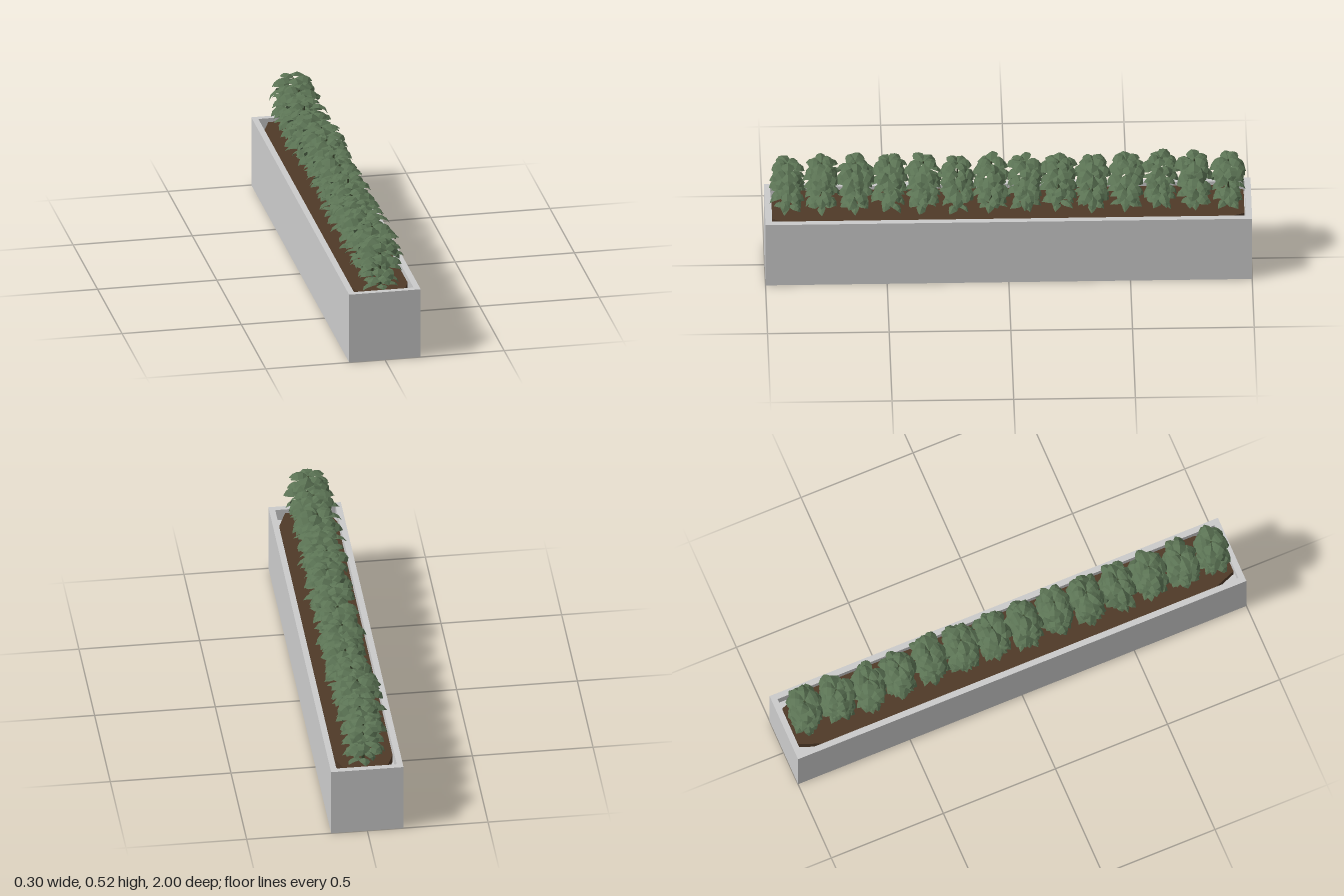
import * as THREE from 'three';
import { mergeGeometries } from 'three/addons/utils/BufferGeometryUtils.js';

// small seeded generator
let seed = 7;
const rand = () => {
  seed = (seed * 16807) % 2147483647;
  return seed / 2147483647;
};
const vary = (amount) => (rand() * 2 - 1) * amount;
const rad = THREE.MathUtils.degToRad;

const grey = new THREE.MeshStandardMaterial({ color: 0xcccccc, flatShading: true });
const soilMaterial = new THREE.MeshStandardMaterial({ color: 0x4f3a28, flatShading: true });
const leafMaterial = new THREE.MeshStandardMaterial({ color: 0x5b7354, flatShading: true, side: THREE.DoubleSide });
const stemMaterial = new THREE.MeshStandardMaterial({ color: 0x3d4a30, flatShading: true });

function addMesh(parent, name, geometry, material) {
  const mesh = new THREE.Mesh(geometry, material);
  mesh.name = name;
  parent.add(mesh);
  return mesh;
}

function rectangle(target, x, z) {
  target.moveTo(-x, -z).lineTo(x, -z).lineTo(x, z).lineTo(-x, z).closePath();
  return target;
}

// A plan shape in x and z raised from y to y + height
function slab(shape, y, height) {
  return new THREE.ExtrudeGeometry(shape, { depth: height, bevelEnabled: false })
    .rotateX(-Math.PI / 2).translate(0, y, 0);
}

// Drooping leaf along +z, creased along its spine
const HALF_WIDTHS = [0.12, 0.85, 1, 0.62, 0.04];
function leafGeometry(length, width, rise, droop) {
  const positions = [], index = [];
  const last = HALF_WIDTHS.length - 1;
  let y = 0, z = 0;
  HALF_WIDTHS.forEach((w, i) => {
    const half = w * width / 2;
    positions.push(-half, y - half * 0.45, z, 0, y, z, half, y - half * 0.45, z);
    const angle = rad(THREE.MathUtils.lerp(rise, droop, i / (last - 1)));
    y += Math.sin(angle) * length / last;
    z += Math.cos(angle) * length / last;
    if (i < last) {
      for (const c of [0, 1]) {
        const a = i * 3 + c;
        index.push(a, a + 3, a + 1, a + 1, a + 3, a + 4);
      }
    }
  });
  const geometry = new THREE.BufferGeometry();
  geometry.setAttribute('position', new THREE.Float32BufferAttribute(positions, 3));
  geometry.setIndex(index);
  geometry.computeVertexNormals();
  return geometry;
}

// Leaf whorls: count, height, start radius, length, width, rise, droop
const WHORLS = [
  [5, 0.500, 0.004, 0.075, 0.060, 30, -50],
  [7, 0.475, 0.015, 0.095, 0.062, 30, -68],
  [7, 0.445, 0.020, 0.092, 0.058, 20, -62],
  [6, 0.415, 0.020, 0.075, 0.050, 15, -60],
  [7, 0.375, 0.015, 0.090, 0.056, 25, -65],
  [6, 0.340, 0.015, 0.080, 0.050, 20, -60],
  [5, 0.300, 0.010, 0.072, 0.042, 35, -45],
];

function foliageGeometry() {
  const leaves = [];
  for (const [count, y, radius, length, width, rise, droop] of WHORLS) {
    const start = rand() * Math.PI * 2;
    for (let i = 0; i < count; i++) {
      const leaf = leafGeometry(length * (1 + vary(0.15)), width * (1 + vary(0.15)),
        rise + vary(12), droop + vary(12));
      leaf.rotateZ(vary(0.3));
      leaf.translate(0, y + vary(0.008), radius);
      leaf.rotateY(start + (i / count) * Math.PI * 2 + vary(0.2));
      leaves.push(leaf);
    }
  }
  return mergeGeometries(leaves);
}

export function createModel() {
  seed = 7;
  const model = new THREE.Group();
  model.name = 'planter';

  // Trough: open rim over a solid base
  const trough = new THREE.Group();
  trough.name = 'trough';
  model.add(trough);
  const rim = rectangle(new THREE.Shape(), 0.15, 1);
  rim.holes.push(rectangle(new THREE.Path(), 0.125, 0.975));
  addMesh(trough, 'troughWalls', slab(rim, 0, 0.3), grey);
  addMesh(trough, 'troughFloor', slab(rectangle(new THREE.Shape(), 0.126, 0.976), 0, 0.25), grey);

  // Soil bed with cut corners
  const bed = new THREE.Shape();
  bed.moveTo(0.12, -0.88).lineTo(0.12, 0.88).lineTo(0.085, 0.97).lineTo(-0.085, 0.97)
    .lineTo(-0.12, 0.88).lineTo(-0.12, -0.88).lineTo(-0.085, -0.97).lineTo(0.085, -0.97).closePath();
  addMesh(model, 'soil', slab(bed, 0.24, 0.045), soilMaterial);

  // Row of bushes
  const COUNT = 14;
  for (let i = 0; i < COUNT; i++) {
    const bush = new THREE.Group();
    bush.name = 'bush';
    addMesh(bush, 'stem', new THREE.CylinderGeometry(0.004, 0.007, 0.24, 5).translate(0, 0.38, 0), stemMaterial);
    addMesh(bush, 'foliage', foliageGeometry(), leafMaterial);
    bush.position.set(vary(0.008), 0, -0.905 + (i / (COUNT - 1)) * 1.81);
    bush.scale.set(1.08, 1, 0.88);
    model.add(bush);
  }
  return model;
}
